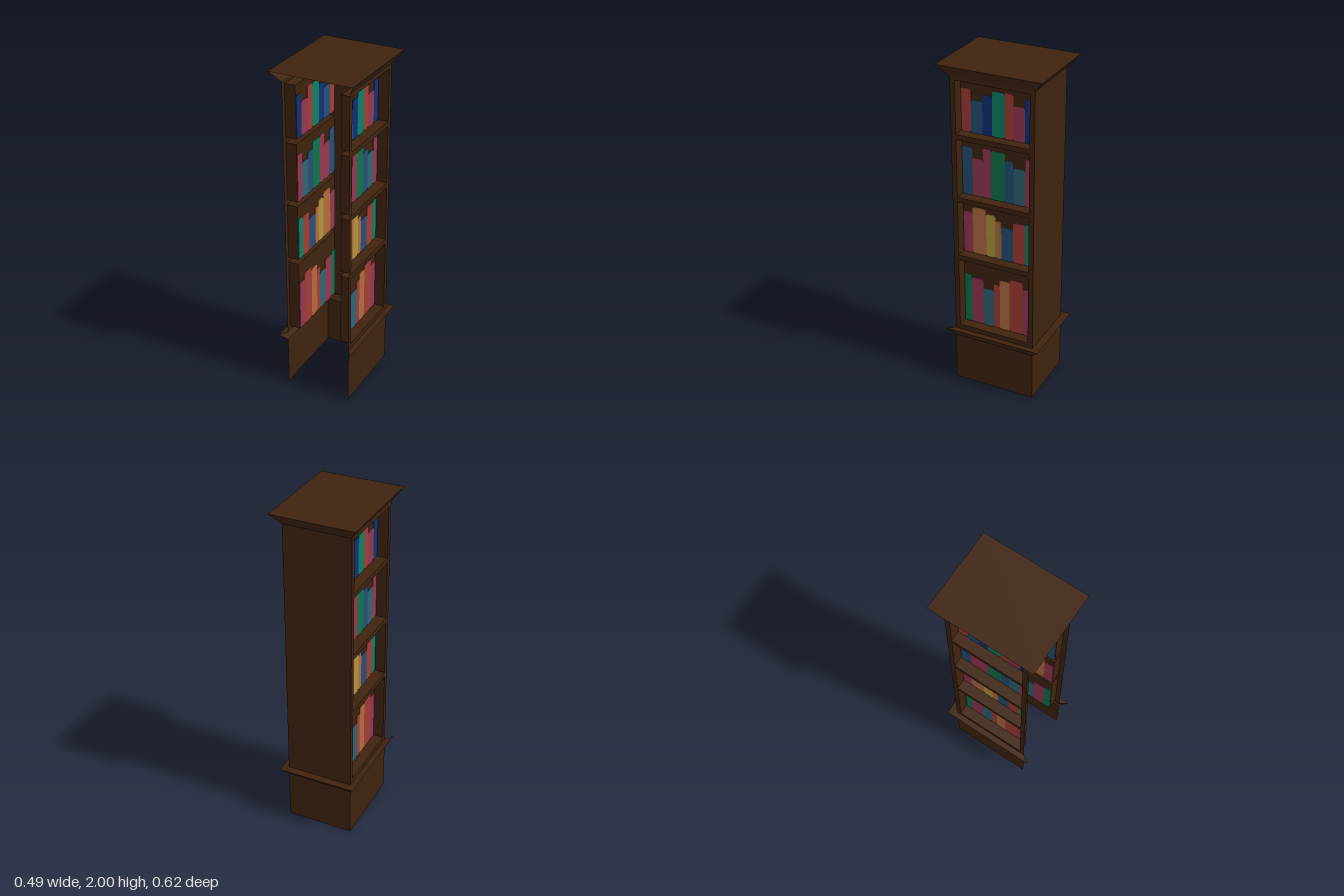
import * as THREE from 'three';

const mat = (name, color, side = THREE.FrontSide) => {
  const m = new THREE.MeshStandardMaterial({ color, side });
  m.name = name;
  return m;
};

const W = 0.2, D = 0.25;        // half width and half depth of the case
const INSET = 0.065;            // depth of the shelf niches
const HALF_NICHE = 0.22;

// Each shelf: floor, ceiling, first book edge, then [colour, width, top] per book
const SHELVES = [
  { y0: 0.38, y1: 0.82, books: [['green', 0.047, 0.70], ['crimson', 0.074, 0.685], ['slate', 0.069, 0.63],
    ['red', 0.037, 0.675], ['orange', 0.064, 0.71], ['red', 0.085, 0.73], ['crimson', 0.058, 0.69]] },
  { y0: 0.85, y1: 1.19, books: [['crimson', 0.058, 1.11], ['orange', 0.085, 1.145], ['yellow', 0.058, 1.12],
    ['orange', 0.037, 1.09], ['blue', 0.074, 1.06], ['red', 0.074, 1.105], ['teal', 0.048, 1.11]] },
  { y0: 1.22, y1: 1.57, books: [['blue', 0.063, 1.51], ['crimson', 0.064, 1.45], ['crimson', 0.05, 1.52],
    ['green', 0.085, 1.515], ['blue', 0.053, 1.475], ['slate', 0.069, 1.44], ['crimson', 0.05, 1.505]] },
  { y0: 1.60, y1: 1.91, books: [['red', 0.058, 1.85], ['blue', 0.069, 1.79], ['navy', 0.058, 1.83],
    ['teal', 0.074, 1.86], ['red', 0.053, 1.865], ['crimson', 0.069, 1.80], ['navy', 0.053, 1.85]] },
];

// Three-sided ring (right, back, left), open at the front
const ring = (y, w, d) => [[w, y, d], [w, y, -d], [-w, y, -d], [-w, y, d]];

// Flat quads between two rings, for the listed sides
function band(low, up, sides = [0, 1, 2]) {
  const pos = [];
  for (const i of sides) {
    const [a, b, c, d] = [low[i], low[i + 1], up[i + 1], up[i]];
    pos.push(...a, ...b, ...c, ...a, ...c, ...d);
  }
  const g = new THREE.BufferGeometry();
  g.setAttribute('position', new THREE.Float32BufferAttribute(pos, 3));
  g.computeVertexNormals();
  return g;
}

const rectPoints = (x0, y0, x1, y1) =>
  [[x0, y0], [x1, y0], [x1, y1], [x0, y1]].map(([x, y]) => new THREE.Vector2(x, y));

export function createModel() {
  const group = new THREE.Group();
  group.name = 'bookcase';
  const wood = mat('dark wood', 0x3e230e, THREE.DoubleSide);
  const covers = {
    red: mat('red cover', 0xa23c35),
    crimson: mat('crimson cover', 0x943650),
    orange: mat('orange cover', 0xb06b3d),
    yellow: mat('yellow cover', 0xb3943d),
    green: mat('green cover', 0x10724a),
    teal: mat('teal cover', 0x0d7e66),
    blue: mat('blue cover', 0x254e77),
    navy: mat('navy cover', 0x0f3077),
    slate: mat('slate cover', 0x306374),
  };
  const add = (parent, name, geometry, material = wood) => {
    const m = new THREE.Mesh(geometry, material);
    m.name = name;
    parent.add(m);
    return m;
  };

  // Shell: plinth, moulding, back wall, cornice and top
  const plinthTop = ring(0.3, W, D), lip = ring(0.35, 0.235, 0.297);
  const wallFoot = ring(0.35, W, D), wallHead = ring(1.93, W, D);
  add(group, 'plinth', band(ring(0, W, D), plinthTop));
  add(group, 'mouldingSlope', band(plinthTop, lip));
  add(group, 'mouldingLedge', band(lip, wallFoot));
  add(group, 'backWall', band(wallFoot, wallHead, [1]));
  add(group, 'cornice', band(wallHead, ring(2, 0.247, 0.311)));
  const top = new THREE.PlaneGeometry(0.494, 0.622).rotateX(-Math.PI / 2).translate(0, 2, 0);
  add(group, 'top', top);

  // One side wall with niches and books, repeated by a half turn
  const makeSide = (name) => {
    const side = new THREE.Group();
    side.name = name;
    const frame = new THREE.Shape(rectPoints(-D, 0.35, D, 1.93));
    for (const { y0, y1 } of SHELVES) {
      frame.holes.push(new THREE.Path(rectPoints(-HALF_NICHE, y0, HALF_NICHE, y1).reverse()));
    }
    add(side, 'sideFrame', new THREE.ShapeGeometry(frame).rotateY(Math.PI / 2).translate(W, 0, 0));

    for (const { y0, y1, books } of SHELVES) {
      // Niche: a box without its outer face
      const niche = new THREE.BoxGeometry(INSET, y1 - y0, HALF_NICHE * 2);
      niche.setIndex(Array.from(niche.index.array).slice(6));
      niche.clearGroups();
      niche.translate(W - INSET / 2, (y0 + y1) / 2, 0);
      add(side, 'shelfNiche', niche);

      // Book spines: thin plates through the niche panel
      let u = -0.217;
      for (const [colour, width, h] of books) {
        const v = u + width, c = 0.009;
        const spine = new THREE.Shape([[u + c, y0], [v - c, y0], [v, y0 + c], [v, h - c],
          [v - c, h], [u + c, h], [u, h - c], [u, y0 + c]].map(([x, y]) => new THREE.Vector2(x, y)));
        const g = new THREE.ExtrudeGeometry(spine, { depth: 0.006, bevelEnabled: false });
        g.translate(0, 0, -0.003).rotateY(Math.PI / 2).translate(W - INSET, 0, 0);
        add(side, 'book', g, covers[colour]);
        u = v;
      }
    }
    return side;
  };
  const left = makeSide('leftSide');
  const right = makeSide('rightSide');
  right.rotation.y = Math.PI;
  group.add(left, right);
  return group;
}
